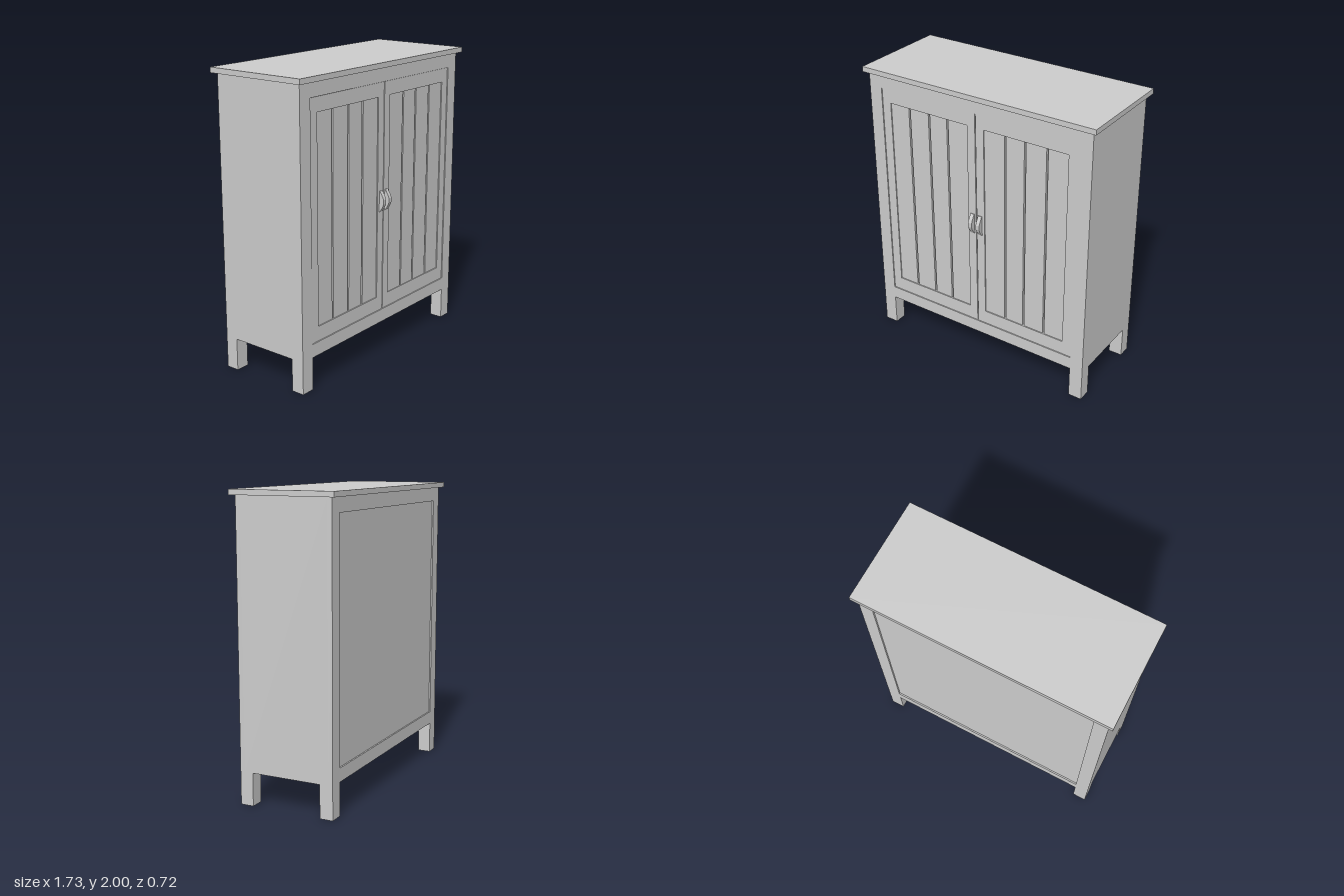
import * as THREE from 'three';

const paint = new THREE.MeshStandardMaterial({ color: 0xcccccc });
paint.name = 'light grey paint';

// Box given by its limits on each axis
function block(name, x0, x1, y0, y1, z0, z1) {
  const mesh = new THREE.Mesh(new THREE.BoxGeometry(x1 - x0, y1 - y0, z1 - z0), paint);
  mesh.position.set((x0 + x1) / 2, (y0 + y1) / 2, (z0 + z1) / 2);
  mesh.name = name;
  return mesh;
}

function rectangle(Type, [x0, x1, y0, y1]) {
  return new Type([[x0, y0], [x1, y0], [x1, y1], [x0, y1]].map(p => new THREE.Vector2(...p)));
}

// Rectangular frame with one rectangular opening, between z0 and z1
function frame(name, outer, opening, z0, z1) {
  const shape = rectangle(THREE.Shape, outer);
  shape.holes.push(rectangle(THREE.Path, opening));
  const geometry = new THREE.ExtrudeGeometry(shape, { depth: z1 - z0, bevelEnabled: false });
  geometry.translate(0, 0, z0);
  const mesh = new THREE.Mesh(geometry, paint);
  mesh.name = name;
  return mesh;
}

// Door frame filled with four vertical planks, plus its handle; side is +1 or -1
function door(side) {
  const group = new THREE.Group();
  group.name = side > 0 ? 'leftDoor' : 'rightDoor';
  const span = (a, b) => (side > 0 ? [a, b] : [-b, -a]);
  group.add(frame('doorFrame', [...span(0.003, 0.738), 0.312, 1.868],
    [...span(0.063, 0.673), 0.41, 1.775], 0.295, 0.325));

  // Planks separated by narrow grooves
  const grooves = [0.22, 0.365, 0.523];
  const edges = [0.063, ...grooves.flatMap(x => [x - 0.006, x + 0.006]), 0.673];
  for (let i = 0; i < edges.length; i += 2) {
    group.add(block('plank', ...span(edges[i], edges[i + 1]), 0.41, 1.775, 0.295, 0.318));
  }

  // Faceted bow handle, profile drawn in (z, y)
  const profile = [[0.32, 1.01], [0.33, 1.01], [0.352, 1.045], [0.36, 1.065],
    [0.36, 1.095], [0.352, 1.115], [0.33, 1.152], [0.32, 1.152]];
  const shape = new THREE.Shape(profile.map(([z, y]) => new THREE.Vector2(-z, y)));
  const geometry = new THREE.ExtrudeGeometry(shape, { depth: 0.028, bevelEnabled: false });
  geometry.rotateY(Math.PI / 2).translate(span(0.016, 0.044)[0], 0, 0);
  const handle = new THREE.Mesh(geometry, paint);
  handle.name = 'handle';
  group.add(handle);
  return group;
}

export function createModel() {
  const model = new THREE.Group();
  model.name = 'cabinet';

  // Carcass with a framed front and back
  const outer = [-0.835, 0.835, 0.22, 1.965];
  const opening = [-0.74, 0.74, 0.31, 1.87];
  model.add(block('carcass', ...outer, -0.3, 0.3));
  model.add(frame('frontFrame', outer, opening, 0.3, 0.33));
  model.add(frame('backFrame', outer, opening, -0.33, -0.3));
  model.add(block('backPanel', ...opening, -0.32, -0.295));

  // Overhanging top board
  model.add(block('topBoard', -0.865, 0.865, 1.965, 2, -0.36, 0.36));

  // Doors and four square legs
  for (const side of [1, -1]) {
    model.add(door(side));
    for (const end of [1, -1]) {
      const leg = block('leg', -0.0475, 0.0475, 0, 0.22, -0.045, 0.045);
      leg.position.x = side * 0.7875;
      leg.position.z = end * 0.285;
      model.add(leg);
    }
  }
  return model;
}
